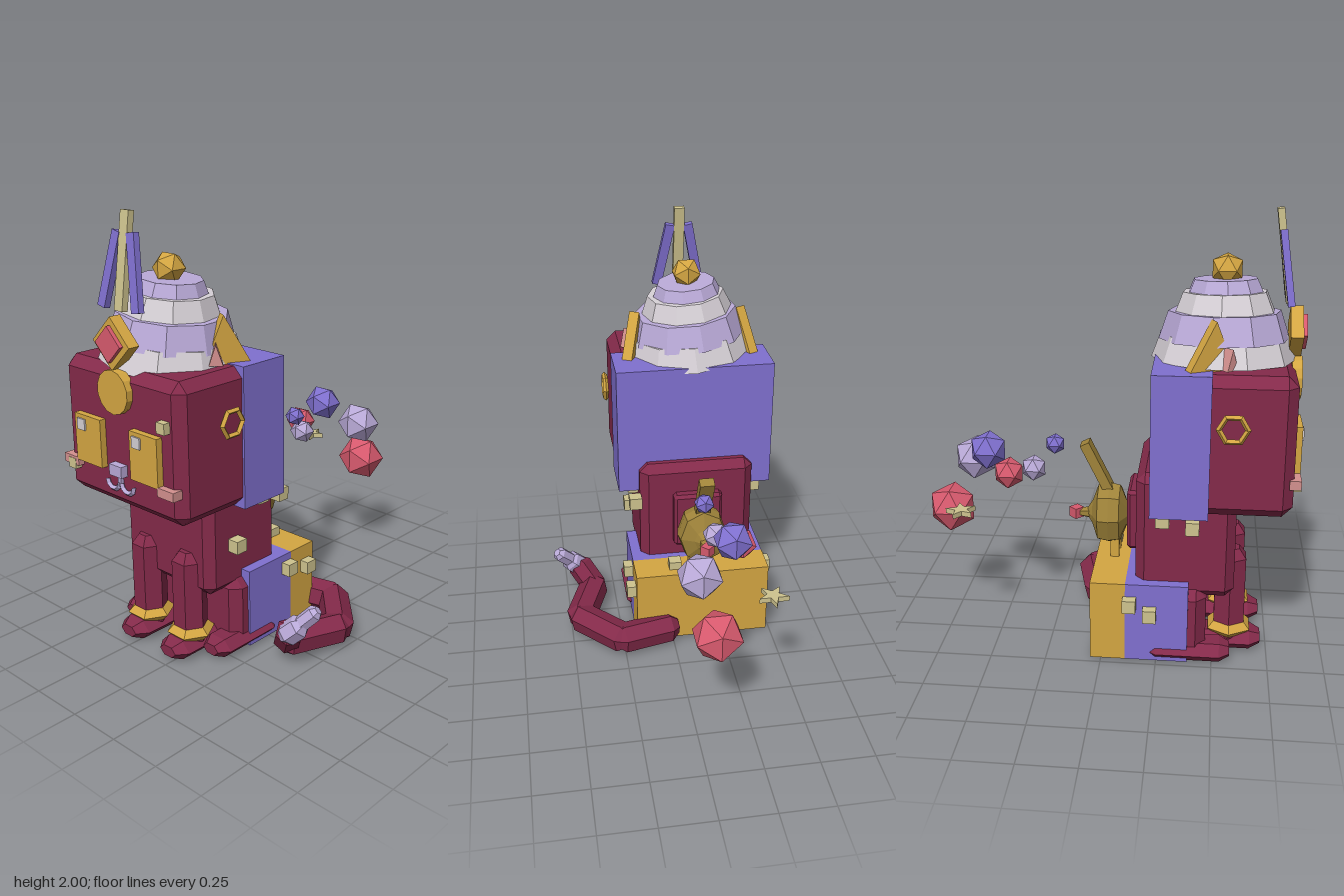
import * as THREE from 'three';
import { ConvexGeometry } from 'three/addons/geometries/ConvexGeometry.js';

const mat = (name, color, side = THREE.FrontSide) => {
  const m = new THREE.MeshStandardMaterial({ color, flatShading: true, side });
  m.name = name;
  return m;
};
const V = (x, y, z) => new THREE.Vector3(x, y, z);
const CX = -0.15; // symmetry axis of the body

export function createModel() {
  const root = new THREE.Group();
  const maroon = mat('maroon', 0x842a4a), purple = mat('purple', 0x8070d0), lavender = mat('lavender', 0xbaaad8);
  const gold = mat('gold', 0xd4a642), brass = mat('brass', 0xa0843a), khaki = mat('khaki', 0xcfc48f);
  const red = mat('red', 0xd85a6e), pink = mat('pink', 0xd4918f), white = mat('white', 0xd6d0d6);

  const add = (name, geo, m, x = 0, y = 0, z = 0, rx = 0, ry = 0, rz = 0) => {
    const mesh = new THREE.Mesh(geo, m);
    mesh.name = name;
    mesh.position.set(x, y, z);
    mesh.rotation.set(rx, ry, rz);
    root.add(mesh);
    return mesh;
  };
  // box given by its limits
  const span = (name, m, x0, x1, y0, y1, z0, z1) =>
    add(name, new THREE.BoxGeometry(x1 - x0, y1 - y0, z1 - z0), m, (x0 + x1) / 2, (y0 + y1) / 2, (z0 + z1) / 2);
  // box with chamfered edges, given by its limits
  const chamfered = (name, m, b, x0, x1, y0, y1, z0, z1) => {
    const w = (x1 - x0) / 2, h = (y1 - y0) / 2, d = (z1 - z0) / 2, pts = [];
    for (const i of [-1, 1]) for (const j of [-1, 1]) for (const k of [-1, 1])
      pts.push(V(i * w, j * (h - b), k * (d - b)), V(i * (w - b), j * h, k * (d - b)), V(i * (w - b), j * (h - b), k * d));
    return add(name, new ConvexGeometry(pts), m, (x0 + x1) / 2, (y0 + y1) / 2, (z0 + z1) / 2);
  };
  // six-sided capsule between two tip points
  const hexCapsule = (name, m, a, b, r) => {
    const len = a.distanceTo(b), c = r * 0.55;
    const prof = [[0, 0], [r * 0.55, 0], [r, c], [r, len - c], [r * 0.55, len], [0, len]].map(p => new THREE.Vector2(...p));
    const mesh = add(name, new THREE.LatheGeometry(prof, 6, Math.PI / 2), m, a.x, a.y, a.z);
    mesh.quaternion.setFromUnitVectors(V(0, 1, 0), b.clone().sub(a).normalize());
    return mesh;
  };
  const polygon = pts => new THREE.Shape(pts.map(p => new THREE.Vector2(...p)));
  const plate = (shape, depth) =>
    new THREE.ExtrudeGeometry(shape, { depth, bevelEnabled: false }).translate(0, 0, -depth / 2);

  // Body
  chamfered('body', maroon, 0.04, -0.43, 0.13, 0.31, 0.89, 0.15, 0.59);
  chamfered('backPad', maroon, 0.015, -0.27, -0.03, 0.46, 0.745, 0.1, 0.18);
  chamfered('haunches', maroon, 0.045, -0.47, 0.17, 0.005, 0.36, -0.02, 0.47);
  span('haunchBand', purple, -0.48, 0.18, 0.015, 0.39, 0.11, 0.39);
  span('haunchBox', gold, -0.48, 0.18, 0.015, 0.39, -0.047, 0.11);

  // Legs, cuffs and feet
  for (const s of [-1, 1]) {
    const x = CX + s * 0.135;
    hexCapsule('frontLeg', maroon, V(x, 0.03, 0.575), V(x, 0.505, 0.575), 0.079);
    add('legCuff', new THREE.TorusGeometry(0.078, 0.032, 4, 6), gold, x, 0.112, 0.575, Math.PI / 2);
    const foot = hexCapsule('frontFoot', maroon, V(x, 0.055, 0.42), V(x, 0.055, 0.72), 0.09);
    foot.scale.z = 0.58;
    const hx = CX + s * 0.265;
    hexCapsule('hindFoot', maroon, V(hx, 0.055, 0.2), V(hx, 0.055, 0.58), 0.085).scale.z = 0.6;
  }

  // Head and hood
  chamfered('head', maroon, 0.045, -0.52, 0.22, 0.745, 1.365, 0.25, 0.82);
  span('hood', purple, -0.53, 0.23, 0.735, 1.37, 0.215, 0.466);

  // Face
  span('nose', lavender, -0.19, -0.112, 0.9, 0.95, 0.81, 0.855);
  span('noseLine', lavender, -0.16, -0.14, 0.85, 0.9, 0.81, 0.835);
  for (const s of [-1, 1]) {
    const ex = CX + s * 0.178;
    span('eye', gold, ex - 0.085, ex + 0.085, 0.912, 1.128, 0.81, 0.85);
    span('eyeHighlight', white, ex - 0.062, ex - 0.012, 1.06, 1.11, 0.84, 0.858);
    const cx = CX + s * 0.305;
    span('cheek', pink, cx - 0.048, cx + 0.048, 0.88, 0.92, 0.8, 0.85);
    add('mouthCurve', new THREE.TorusGeometry(0.04, 0.012, 4, 5, Math.PI), lavender,
      CX + s * 0.046, 0.867, 0.828, 0, 0, Math.PI);
    // side rings
    add('sideRing', new THREE.TorusGeometry(0.06, 0.013, 4, 6), gold, CX + s * 0.403, 1.155, 0.557, 0, Math.PI / 2);
    // ears
    add('ear', plate(polygon([[-0.105, 0], [0.105, 0], [0, 0.215]]), 0.05), gold,
      CX + s * 0.265, 1.36, 0.455, 0, s * 1.1, s * 0.06);
    add('innerEar', plate(polygon([[-0.03, 0], [0.03, 0], [0, 0.09]]), 0.05), pink,
      CX + s * 0.285, 1.375, 0.53, 0, s * 0.8, 0);
    // purple crest bars
    add('crestBar', new THREE.BoxGeometry(0.046, 0.32, 0.03), purple, CX + s * 0.075, 1.76, 0.763, -0.14, 0, s * 0.2);
  }
  add('foreheadDisc', new THREE.CylinderGeometry(0.096, 0.096, 0.045, 14), gold, CX, 1.27, 0.828, Math.PI / 2);
  add('diamondFrame', new THREE.BoxGeometry(0.16, 0.16, 0.055), gold, CX, 1.474, 0.817, 0, 0, Math.PI / 4);
  add('diamondGem', new THREE.BoxGeometry(0.11, 0.11, 0.05), red, CX, 1.474, 0.838, 0, 0, Math.PI / 4);
  add('crestSpine', new THREE.BoxGeometry(0.05, 0.405, 0.03), khaki, CX, 1.8, 0.755, -0.14);

  // Tiered hat: bottom radius, top radius, bottom y, top y
  [[0.315, 0.275, 1.35, 1.46, white], [0.285, 0.245, 1.44, 1.56, lavender],
    [0.235, 0.185, 1.52, 1.645, white], [0.175, 0.14, 1.62, 1.7, lavender]].forEach(([r0, r1, y0, y1, m], i) =>
    add('hatTier', new THREE.CylinderGeometry(r1, r0, y1 - y0, 10), m, CX, (y0 + y1) / 2, 0.51, 0, i * 0.12, -0.09));
  add('hatBall', new THREE.IcosahedronGeometry(0.074, 0), gold, CX, 1.74, 0.515);

  // Brass lamp on the back box
  const lampProfile = [[0, -0.105], [0.06, -0.068], [0.14, -0.04], [0.15, 0.01], [0.14, 0.06], [0.05, 0.095], [0, 0.1]];
  const lamp = add('lamp', new THREE.LatheGeometry(lampProfile.map(p => new THREE.Vector2(...p)), 8), brass,
    CX, 0.588, 0, Math.PI / 2);
  lamp.scale.x = 0.8;
  add('lampHandle', new THREE.BoxGeometry(0.07, 0.26, 0.045), brass, CX, 0.815, -0.045, -0.46);
  add('lampSpout', new THREE.CylinderGeometry(0.018, 0.03, 0.07, 6), brass, CX, 0.585, -0.105, -Math.PI / 2);
  add('lampGem', new THREE.BoxGeometry(0.048, 0.048, 0.048), red, CX, 0.585, -0.145, 0, Math.PI / 4);
  for (const s of [-1, 1]) span('lampLeg', gold, CX + s * 0.045 - 0.015, CX + s * 0.045 + 0.015, 0.38, 0.48, 0.02, 0.06);

  // Tail
  const tail = [V(0.02, 0.09, -0.06), V(0.26, 0.09, -0.115), V(0.455, 0.09, 0.09), V(0.365, 0.1, 0.34), V(0.43, 0.19, 0.4)];
  for (let i = 0; i < 4; i++) {
    const d = tail[i + 1].clone().sub(tail[i]).normalize().multiplyScalar(0.04);
    hexCapsule('tailSegment', maroon, tail[i].clone().sub(d), tail[i + 1].clone().add(d), i < 3 ? 0.075 : 0.065);
  }
  hexCapsule('tailTuft', lavender, V(0.41, 0.165, 0.425), V(0.5, 0.255, 0.385), 0.055);
  hexCapsule('tailTip', lavender, V(0.475, 0.235, 0.395), V(0.55, 0.32, 0.35), 0.038);

  // Floating puffs and star
  [[-0.08, 0.555, -0.755, 0.118, red], [-0.02, 0.79, -0.645, 0.105, lavender], [-0.18, 0.89, -0.547, 0.09, purple],
    [-0.24, 0.805, -0.442, 0.073, red], [-0.145, 0.795, -0.343, 0.061, lavender], [-0.11, 0.905, -0.247, 0.048, purple]]
    .forEach(([x, y, z, r, m]) => add('puff', new THREE.IcosahedronGeometry(r, 0), m, x, y, z));
  const star = [];
  for (let i = 0; i < 10; i++) {
    const r = i % 2 ? 0.028 : 0.07, a = Math.PI / 2 + i * Math.PI / 5;
    star.push([r * Math.cos(a), r * Math.sin(a)]);
  }
  add('star', plate(polygon(star), 0.024), khaki, -0.345, 0.65, -0.647, -Math.PI / 2);

  // Scattered studs
  [[0.155, 0.535, 0.44], [0.15, 0.725, 0.29], [0.155, 0.7, 0.165], [0.195, 0.325, 0.14], [0.195, 0.29, 0.01],
    [-0.02, 0.4, 0.03], [-0.495, 0.3, 0.13], [-0.495, 0.255, 0.22], [-0.455, 0.7, 0.27], [-0.455, 0.67, 0.4]]
    .forEach(([x, y, z]) => add('stud', new THREE.BoxGeometry(0.06, 0.06, 0.06), khaki, x, y, z));
  for (const [x, y] of [[0.14, 1.18], [-0.45, 0.885]])
    add('faceStud', new THREE.BoxGeometry(0.048, 0.048, 0.048), khaki, x, y, 0.828);
  return root;
}
